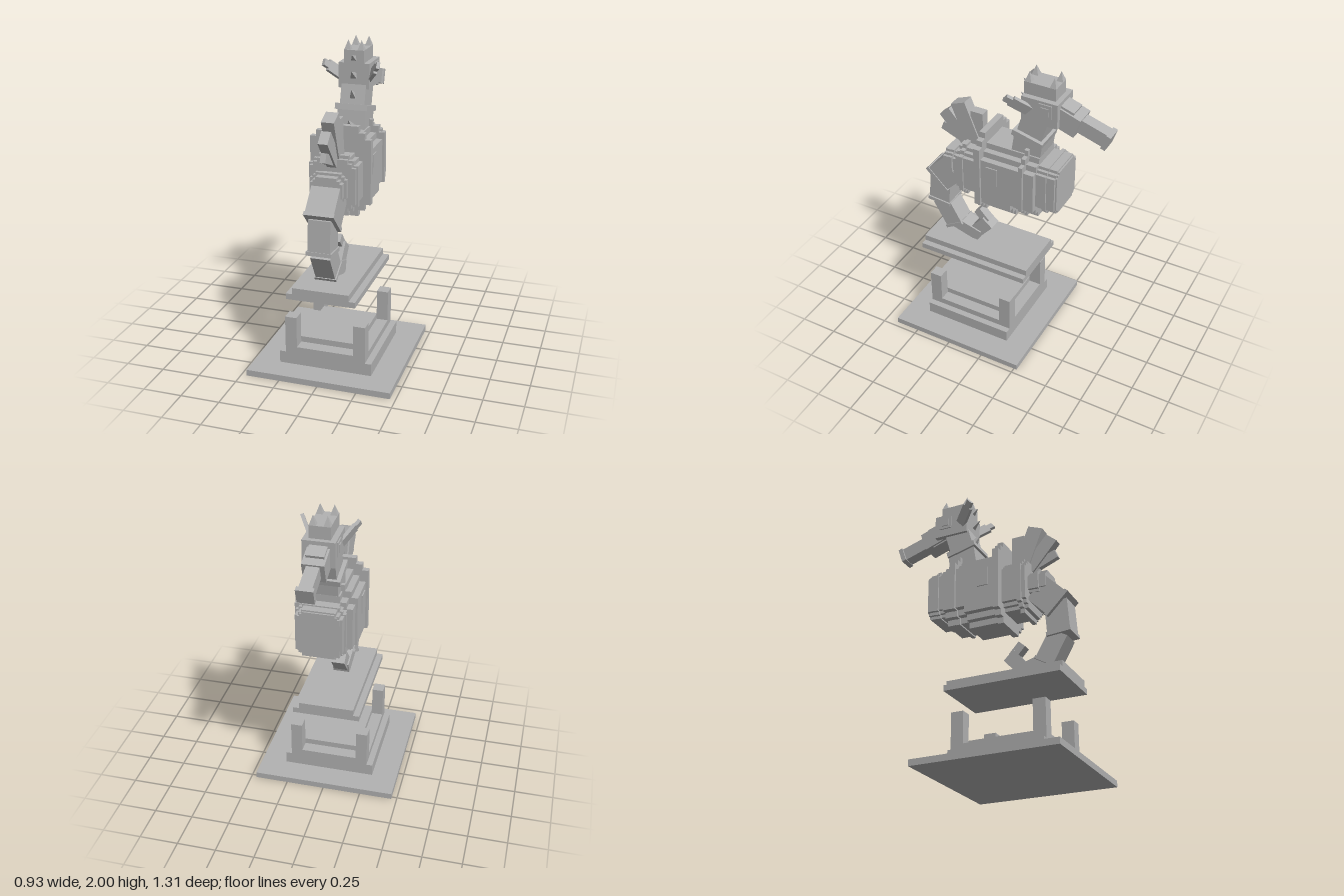
import * as THREE from 'three';

export function createModel() {
  const root = new THREE.Group();
  const stone = new THREE.MeshStandardMaterial({ color: 0xb2b2b2 });
  stone.name = 'grey';

  const add = (name, geo) => {
    const m = new THREE.Mesh(geo, stone);
    m.name = name;
    root.add(m);
    return m;
  };
  // Box from its limits on each axis
  const block = (name, x0, x1, y0, y1, z0, z1) => {
    const m = add(name, new THREE.BoxGeometry(x1 - x0, y1 - y0, z1 - z0));
    m.position.set((x0 + x1) / 2, (y0 + y1) / 2, (z0 + z1) / 2);
    return m;
  };
  // Box along a line in the middle plane, from (z0, y0) to (z1, y1)
  const limb = (name, z0, y0, z1, y1, depth, width) => {
    const m = add(name, new THREE.BoxGeometry(width, Math.hypot(z1 - z0, y1 - y0), depth));
    m.position.set(0, (y0 + y1) / 2, (z0 + z1) / 2);
    m.rotation.x = Math.atan2(z1 - z0, y1 - y0);
  };
  // Barrel section with stepped corners, extruded along z
  const barrel = (name, z0, z1, w, b, t, n) => {
    const h = n / 2;
    const right = [[w - n, b], [w - n, b + h], [w - h, b + h], [w - h, b + n], [w, b + n],
      [w, t - n], [w - h, t - n], [w - h, t - h], [w - n, t - h], [w - n, t]];
    const left = right.map(([x, y]) => [-x, y]).reverse();
    const shape = new THREE.Shape([...right, ...left].map(p => new THREE.Vector2(...p)));
    const geo = new THREE.ExtrudeGeometry(shape, { depth: z1 - z0, bevelEnabled: false });
    add(name, geo).position.z = z0;
  };
  // Four-sided spike standing on a point, leaning by an angle towards +z
  const spike = (name, x, y, z, lean, radius, height) => {
    const geo = new THREE.ConeGeometry(radius, height, 4).toNonIndexed();
    geo.rotateY(Math.PI / 4).translate(0, height / 2, 0);
    geo.computeVertexNormals();
    const m = add(name, geo);
    m.position.set(x, y, z);
    m.rotation.x = lean;
  };

  // Pedestal with four corner posts
  block('groundPlate', -0.465, 0.465, 0, 0.04, -0.27, 0.66);
  block('lowerTier', -0.3, 0.3, 0.04, 0.12, -0.107, 0.5);
  block('middleTier', -0.26, 0.26, 0.12, 0.162, -0.107, 0.5);
  block('upperTier', -0.185, 0.185, 0.162, 0.2, -0.027, 0.42);
  for (const x of [-0.26, 0.185])
    for (const z of [-0.107, 0.42]) block('cornerPost', x, x + 0.075, 0.162, 0.365, z, z + 0.08);

  // Floating platform
  block('platformBase', -0.22, 0.22, 0.53, 0.567, -0.185, 0.58);
  block('platformTop', -0.18, 0.18, 0.567, 0.608, -0.185, 0.58);

  // Barrel body, rear to front
  barrel('tailCollar', 0.33, 0.455, 0.1, 1.13, 1.29, 0.035);
  barrel('tailCollarRing', 0.385, 0.41, 0.115, 1.12, 1.305, 0.035);
  barrel('rearBody', 0.16, 0.335, 0.145, 1.04, 1.37, 0.05);
  barrel('rearRing', 0.282, 0.31, 0.155, 1.01, 1.39, 0.06);
  barrel('middleBody', -0.07, 0.16, 0.18, 0.975, 1.457, 0.08);
  barrel('middleRing', 0.135, 0.175, 0.195, 0.96, 1.535, 0.08);
  barrel('shoulderBody', -0.225, -0.07, 0.18, 1.02, 1.457, 0.08);
  barrel('shoulderRing', -0.158, -0.132, 0.195, 1.01, 1.5, 0.08);
  barrel('chest', -0.35, -0.225, 0.145, 1.09, 1.41, 0.04);
  barrel('chestRing', -0.297, -0.273, 0.155, 1.082, 1.418, 0.04);
  barrel('chestCap', -0.36, -0.35, 0.13, 1.1, 1.4, 0.03);
  for (const s of [-1, 1]) {
    const m = block('sidePanel', -0.004, 0.004, 1.215, 1.34, 0.02, 0.095);
    m.position.x = s * 0.183;
  }

  // Curled tail and its joint rings
  limb('tailRoot', 0.39, 1.17, 0.52, 1.035, 0.185, 0.18);
  limb('tailRing', 0.508, 1.047, 0.526, 1.029, 0.2, 0.19);
  limb('tailUpper', 0.505, 1.06, 0.52, 0.85, 0.15, 0.14);
  limb('tailRing', 0.519, 0.862, 0.521, 0.838, 0.16, 0.16);
  limb('tailMiddle', 0.515, 0.85, 0.415, 0.675, 0.13, 0.125);
  limb('tailRing', 0.423, 0.688, 0.413, 0.671, 0.14, 0.14);
  limb('tailLower', 0.425, 0.695, 0.235, 0.638, 0.085, 0.11);
  limb('tailCurl', 0.275, 0.652, 0.175, 0.768, 0.09, 0.09);
  limb('tailTip', 0.19, 0.762, 0.258, 0.835, 0.058, 0.06);

  // Fan of fins on the back
  limb('backFin', 0.242, 1.34, 0.242, 1.6, 0.085, 0.06);
  limb('backFin', 0.26, 1.36, 0.37, 1.635, 0.105, 0.08);
  limb('backFin', 0.31, 1.35, 0.475, 1.54, 0.09, 0.06);
  limb('backFin', 0.31, 1.35, 0.5, 1.425, 0.06, 0.035);

  // Neck
  limb('neckBase', -0.12, 1.4, -0.145, 1.565, 0.19, 0.18);
  limb('neckRing', -0.136, 1.552, -0.145, 1.588, 0.205, 0.21);
  limb('neck', -0.14, 1.57, -0.19, 1.74, 0.165, 0.16);

  // Head and crown
  block('head', -0.1, 0.1, 1.7, 1.86, -0.335, -0.1);
  block('crown', -0.065, 0.065, 1.86, 1.94, -0.305, -0.1);
  for (const x of [-0.043, 0.043])
    for (const z of [-0.125, -0.285]) spike('horn', x, 1.94, z, 0, 0.029, 0.06);
  for (const s of [-1, 1]) {
    block('eyeFrame', -0.004, 0.004, 1.755, 1.845, -0.3, -0.215).position.x = s * 0.103;
    block('eye', -0.004, 0.004, 1.775, 1.825, -0.282, -0.233).position.x = s * 0.108;
  }

  // Snout
  limb('brow', -0.27, 1.775, -0.395, 1.735, 0.155, 0.11);
  limb('muzzle', -0.31, 1.76, -0.445, 1.714, 0.13, 0.135);
  limb('snout', -0.42, 1.73, -0.62, 1.668, 0.092, 0.08);
  limb('snoutTip', -0.605, 1.672, -0.634, 1.662, 0.1, 0.105);

  // Swept ears, each a blade with a narrower tip
  for (const s of [-1, 1]) {
    const dir = new THREE.Vector3(s * 0.09, 0.105, 0.12).normalize();
    const wide = new THREE.Vector3(0, 0.12, -0.105).normalize();
    const thin = new THREE.Vector3().crossVectors(wide, dir);
    const basis = new THREE.Matrix4().makeBasis(wide, dir, thin);
    for (const [name, from, to, width] of [['ear', 0, 0.14, 0.075], ['earTip', 0.14, 0.182, 0.045]]) {
      const m = add(name, new THREE.BoxGeometry(width, to - from, 0.022));
      m.quaternion.setFromRotationMatrix(basis);
      m.position.set(s * 0.085, 1.765, -0.155).addScaledVector(dir, (from + to) / 2);
    }
  }

  // Spikes down the back of the head and neck
  spike('maneSpike', 0, 1.89, -0.105, 1.0, 0.024, 0.05);
  spike('maneSpike', 0, 1.78, -0.105, 1.0, 0.028, 0.07);
  spike('maneSpike', 0, 1.65, -0.092, 0.7, 0.028, 0.07);
  spike('maneSpike', 0, 1.475, -0.03, 0.7, 0.028, 0.065);

  return root;
}
